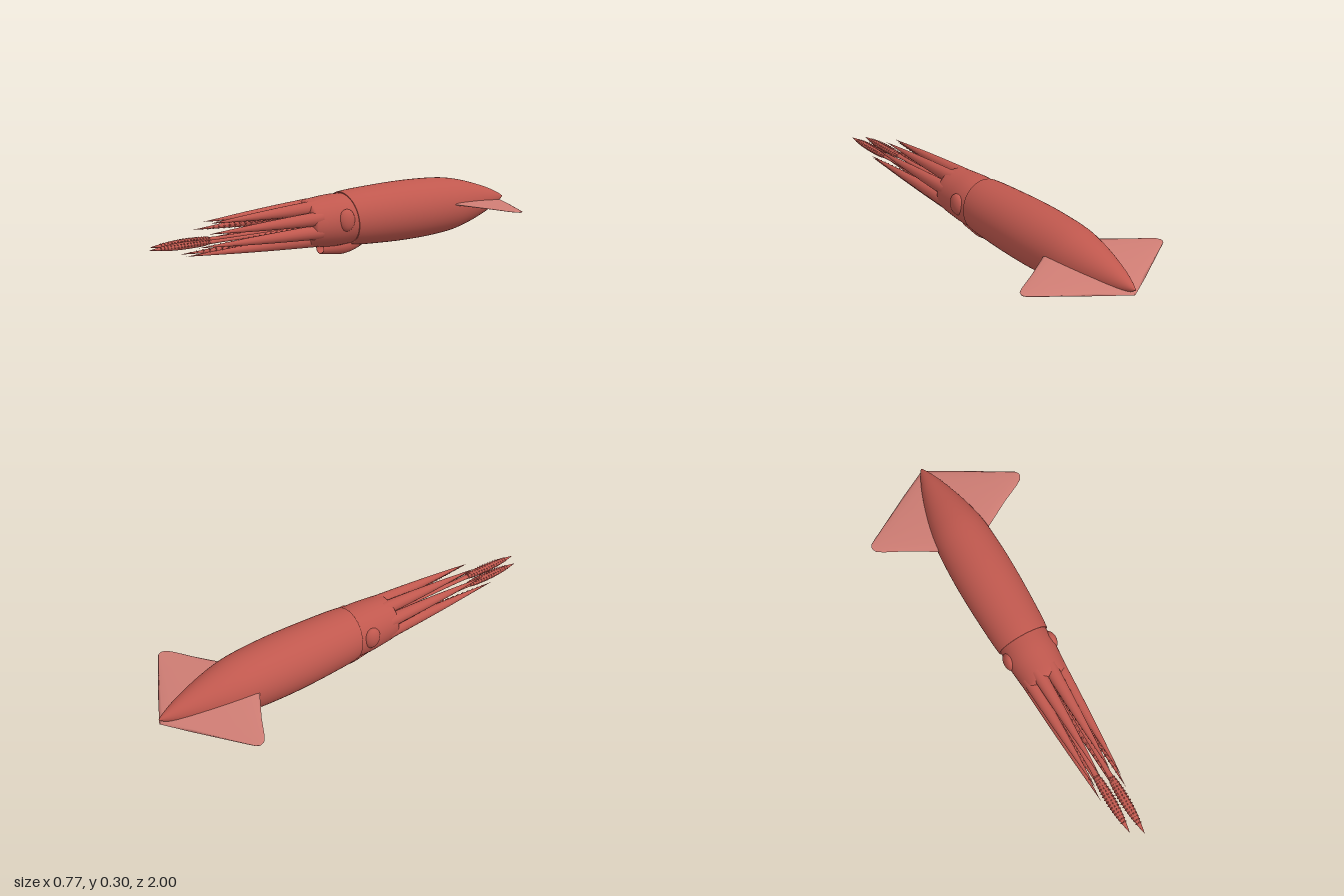
import * as THREE from 'three';
import { mergeGeometries } from 'three/addons/utils/BufferGeometryUtils.js';

const CY = 0.155; // height of the body axis

// Smooth round body along z from a few [z, radius] points
function spindle(profile, sides = 32, steps = 40) {
  const curve = new THREE.SplineCurve(profile.map(([z, r]) => new THREE.Vector2(r, z)));
  const pts = curve.getPoints(steps).map(p => new THREE.Vector2(Math.max(p.x, 0.0002), p.y));
  return new THREE.LatheGeometry(pts, sides).rotateX(Math.PI / 2);
}

// Move every vertex by a rule
function warp(geo, rule) {
  const p = geo.attributes.position, v = new THREE.Vector3();
  for (let i = 0; i < p.count; i++) {
    v.fromBufferAttribute(p, i);
    rule(v);
    p.setXYZ(i, v.x, v.y, v.z);
  }
  return geo;
}

export function createModel() {
  const group = new THREE.Group();
  const skin = new THREE.MeshStandardMaterial({ color: 0xc0584e, side: THREE.DoubleSide });
  skin.name = 'red skin';
  const finSkin = new THREE.MeshStandardMaterial({ color: 0xcf7d74, side: THREE.DoubleSide });
  finSkin.name = 'pale fin skin';

  const add = (name, geo, mat = skin) => {
    const m = new THREE.Mesh(geo, mat);
    m.name = name;
    group.add(m);
    return m;
  };

  // Mantle with a rolled, slanted front lip
  const mantle = spindle([[-1, 0.002], [-0.97, 0.02], [-0.9, 0.051], [-0.8, 0.085], [-0.7, 0.112], [-0.6, 0.129],
    [-0.45, 0.137], [-0.3, 0.137], [-0.12, 0.13], [-0.04, 0.124], [-0.022, 0.12], [-0.03, 0.108]], 48, 60);
  warp(mantle, v => { v.z += v.y * 0.12 * THREE.MathUtils.smoothstep(v.z, -0.3, -0.03); });
  add('mantle', mantle).position.y = CY;

  // Head
  add('head', spindle([[-0.12, 0.108], [-0.02, 0.115], [0.05, 0.117], [0.12, 0.112], [0.18, 0.106],
    [0.2, 0.098], [0.207, 0.07], [0.205, 0.001]], 40)).position.y = CY;

  // Mouth between the arms
  const mouth = add('mouth', new THREE.SphereGeometry(0.036, 20, 14));
  mouth.position.set(0, 0.16, 0.205);

  // Eyes
  for (const s of [1, -1]) {
    const eye = add(s > 0 ? 'leftEye' : 'rightEye', new THREE.SphereGeometry(1, 24, 16));
    eye.scale.set(0.026, 0.05, 0.042);
    eye.position.set(s * 0.106, 0.168, 0.04);
  }

  // Siphon, an open funnel under the head
  const siphon = spindle([[-0.16, 0.01], [-0.1, 0.036], [-0.03, 0.046], [0.04, 0.038], [0.1, 0.03],
    [0.107, 0.025], [0.09, 0.021], [0.0, 0.02]], 24);
  warp(siphon, v => { v.y = v.y * 0.9 + 0.033 + 0.017 * THREE.MathUtils.smoothstep(-v.z, -0.03, 0.14); });
  add('siphon', siphon);

  // Fins: thin wedges from body axis to outer corner
  const finStations = [[0.0, -0.5, -1], [0.13, -0.58, -0.925], [0.26, -0.66, -0.845],
    [0.35, -0.708, -0.79], [0.378, -0.728, -0.772], [0.386, -0.745, -0.758]];
  for (const s of [1, -1]) {
    const N = 8, pos = [], idx = [], ring = 2 * N;
    for (const [x, zf, zb] of finStations) {
      const k = 1 - x / 0.39;
      for (let j = 0; j < ring; j++) {
        const a = (j / ring) * Math.PI * 2, t = (1 - Math.cos(a)) / 2;
        const z = zf + (zb - zf) * t;
        const mid = 0.156 + k * (0.028 - 0.052 * t);
        pos.push(s * x, mid + Math.sin(a) * (0.0015 + 0.015 * k), z);
      }
    }
    for (let i = 0; i < finStations.length - 1; i++) {
      for (let j = 0; j < ring; j++) {
        const a = i * ring + j, b = i * ring + (j + 1) % ring, c = a + ring, d = b + ring;
        if (s > 0) idx.push(a, c, b, b, c, d);
        else idx.push(a, b, c, b, d, c);
      }
    }
    const geo = new THREE.BufferGeometry();
    geo.setAttribute('position', new THREE.Float32BufferAttribute(pos, 3));
    geo.setIndex(idx);
    geo.computeVertexNormals();
    add(s > 0 ? 'leftFin' : 'rightFin', geo, finSkin);
  }

  // Eight tapering arms in a ring, with two rows of suckers on the inner side
  const lengths = [0.70, 0.73, 0.78, 0.82]; // tip z, from top pair to bottom pair
  for (const s of [1, -1]) {
    lengths.forEach((tipZ, i) => {
      const a = Math.PI * (0.375 - i * 0.25);
      const dx = s * Math.cos(a), dy = Math.sin(a), z0 = 0.16;
      const along = z => (z - z0) / (tipZ - z0);
      const spread = t => 0.078 - 0.01 * t;
      const radius = t => 0.0325 * (1 - t) + 0.003 * Math.sin(Math.PI * t);
      const profile = [0, 0.15, 0.35, 0.6, 0.85, 1].map(t => [z0 + t * (tipZ - z0), radius(t)]);
      const arm = warp(spindle(profile, 16, 24), v => {
        const r = spread(along(v.z));
        v.x += dx * r;
        v.y += CY + dy * r;
      });
      arm.computeVertexNormals();
      add('arm', arm);

      const cups = [];
      for (let k = 0; k < 18; k++) {
        const t = 0.12 + k * 0.047, r = radius(t);
        for (const e of [1, -1]) {
          const inward = spread(t) - r * 0.9, side = e * r * 0.42;
          cups.push(new THREE.SphereGeometry(0.002 + r * 0.2, 6, 4).translate(
            dx * inward - dy * side, CY + dy * inward + dx * side, z0 + t * (tipZ - z0)));
        }
      }
      add('armSuckers', mergeGeometries(cups));
    });
  }

  // Two long feeding tentacles ending in clubs studded with suckers
  for (const s of [1, -1]) {
    const tip = s > 0 ? 0.995 : 0.96, x = s * 0.027, y = 0.14, club = tip - 0.32;
    const stalk = spindle([[0.18, 0.014], [0.4, 0.012], [club, 0.011], [club + 0.07, 0.019],
      [club + 0.16, 0.021], [club + 0.23, 0.017], [tip - 0.03, 0.007], [tip, 0.001]], 16, 40);
    warp(stalk, v => { v.y *= 0.72; });
    stalk.computeVertexNormals();
    add('tentacle', stalk).position.set(x, y, 0);

    const cups = [];
    for (let k = 0; k < 16; k++) {
      const t = k / 15, w = 0.01 + 0.011 * Math.sin(Math.PI * Math.min(1, t * 0.9 + 0.08));
      for (let j = 0; j < 5; j++) {
        const a = Math.PI * j / 4;
        cups.push(new THREE.SphereGeometry(0.0045 - 0.0015 * t, 6, 4).translate(
          x + Math.cos(a) * w * 1.05, y + Math.sin(a) * w * 0.72, club + 0.04 + t * 0.23));
      }
    }
    add('clubSuckers', mergeGeometries(cups));
  }

  return group;
}
